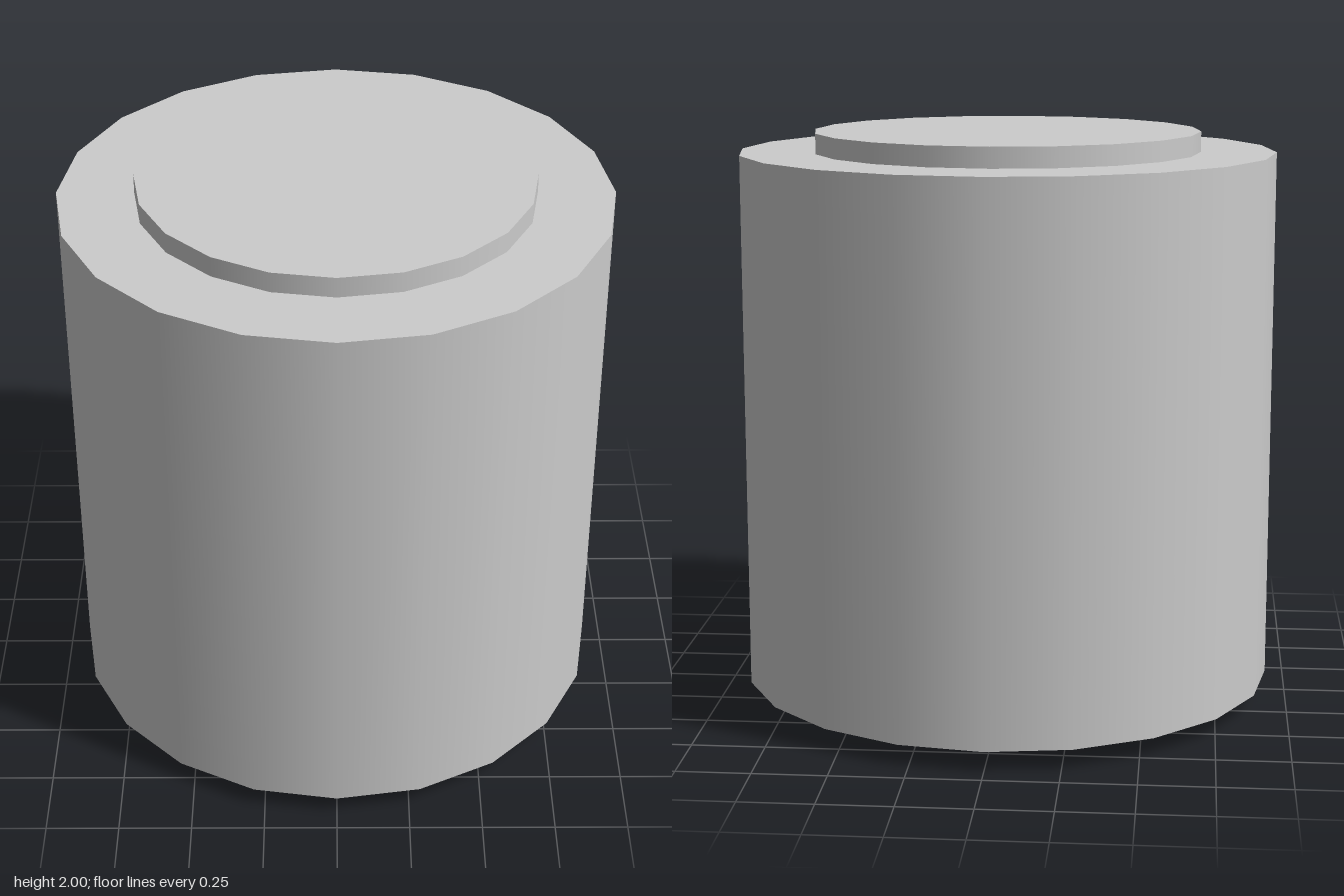
import * as THREE from 'three';

const SIDES = 20;
const HEIGHT = 2;
const RIM = 0.07; // how far each end disc stands out

export function createModel() {
  const group = new THREE.Group();
  const material = new THREE.MeshStandardMaterial({ color: 0xcccccc });

  // Upright cylinder spanning bottom to top
  function addCylinder(name, radius, bottom, top) {
    const geometry = new THREE.CylinderGeometry(radius, radius, top - bottom, SIDES);
    const mesh = new THREE.Mesh(geometry, material);
    mesh.name = name;
    mesh.position.y = (bottom + top) / 2;
    group.add(mesh);
  }

  // Main drum, with a narrower disc on each end
  addCylinder('body', 0.93, RIM, HEIGHT - RIM);
  addCylinder('bottomDisc', 0.67, 0, RIM);
  addCylinder('topDisc', 0.67, HEIGHT - RIM, HEIGHT);

  return group;
}
